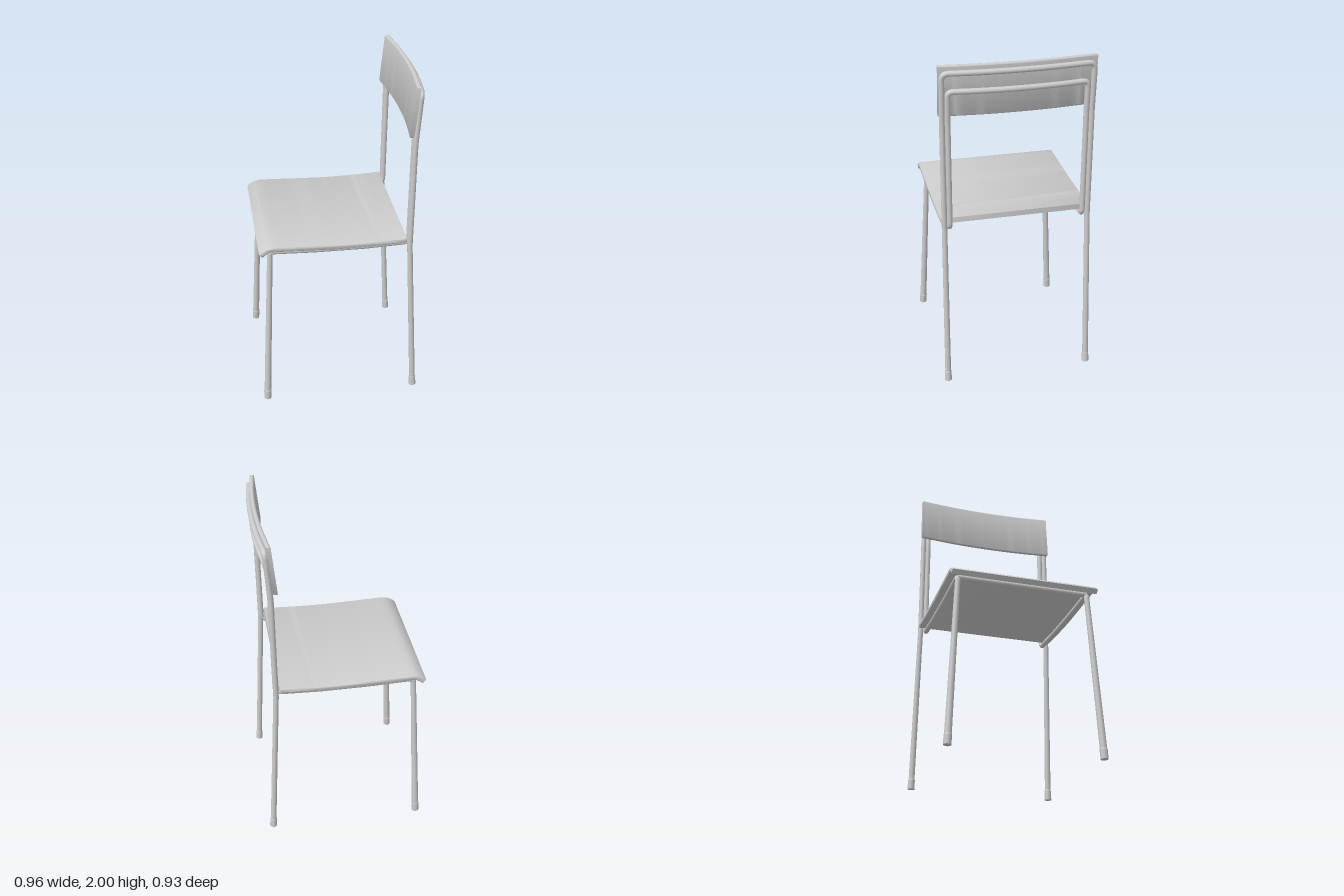
import * as THREE from 'three';
import { toCreasedNormals } from 'three/addons/utils/BufferGeometryUtils.js';

const V = (x, y, z) => new THREE.Vector3(x, y, z);
const R = 0.016; // tube radius

export function createModel() {
  const chair = new THREE.Group();
  chair.name = 'chair';
  const material = new THREE.MeshStandardMaterial({ color: 0xcccccc });

  function add(name, geometry) {
    const mesh = new THREE.Mesh(geometry, material);
    mesh.name = name;
    chair.add(mesh);
    return mesh;
  }

  // Bent steel tube through points, each corner rounded by the given bend
  function bentTube(name, points, bend = 0.04) {
    const path = new THREE.CurvePath();
    let last = points[0];
    for (let i = 1; i < points.length - 1; i++) {
      const p = points[i];
      const toward = (q) => {
        const d = q.clone().sub(p);
        return p.clone().add(d.setLength(Math.min(bend, d.length() * 0.45)));
      };
      const a = toward(points[i - 1]), b = toward(points[i + 1]);
      path.add(new THREE.LineCurve3(last, a));
      path.add(new THREE.QuadraticBezierCurve3(a, p, b));
      last = b;
    }
    path.add(new THREE.LineCurve3(last, points[points.length - 1]));
    add(name, new THREE.TubeGeometry(path, 320, R, 16, false));
  }

  // Straight tapered rod from top to bottom
  function rod(name, top, bottom, rTop, rBottom) {
    const d = top.clone().sub(bottom);
    const mesh = add(name, new THREE.CylinderGeometry(rTop, rBottom, d.length(), 20));
    mesh.position.copy(top).add(bottom).multiplyScalar(0.5);
    mesh.quaternion.setFromUnitVectors(V(0, 1, 0), d.normalize());
  }

  // Curved board with rounded edges: a centre line thickened, then extruded
  function slab(points, thickness, depth) {
    const curve = new THREE.SplineCurve(points.map(([x, y]) => new THREE.Vector2(x, y)));
    const upper = [], lower = [];
    for (let i = 0; i <= 40; i++) {
      const p = curve.getPoint(i / 40), t = curve.getTangent(i / 40);
      const n = new THREE.Vector2(-t.y, t.x).multiplyScalar(thickness / 2);
      upper.push(p.clone().add(n));
      lower.push(p.clone().sub(n));
    }
    const bevel = 0.01;
    const geometry = new THREE.ExtrudeGeometry(new THREE.Shape([...lower, ...upper.reverse()]), {
      depth: depth - 2 * bevel, bevelThickness: bevel, bevelSize: bevel,
      bevelOffset: -bevel, bevelSegments: 4,
    });
    geometry.translate(0, 0, bevel);
    return toCreasedNormals(geometry, 0.6);
  }

  // Seat board: slightly dished, front edge rolled down (chair faces -x)
  const seat = slab([[-0.468, 1.018], [-0.44, 1.04], [-0.4, 1.053], [-0.3, 1.051],
    [0, 1.042], [0.25, 1.046], [0.385, 1.054]], 0.032, 0.886);
  seat.translate(0, 0, -0.443);
  add('seat', seat);

  // Backrest board: bowed in plan, leaning back
  const bow = (z) => 0.028 * (1 - (z / 0.44) ** 2);
  const backrest = slab([-0.444, -0.22, 0, 0.22, 0.444].map((z) => [z, 0.388 + bow(z)]), 0.025, 0.3);
  backrest.applyMatrix4(new THREE.Matrix4().set(
    0, 1, 0.1, 0,
    0, 0, 1, 1.7,
    1, 0, 0, 0,
    0, 0, 0, 1));
  add('backrest', backrest);

  // Bowed crossbar points between two uprights
  const crossbar = (x, y, half) => [-1, -0.6, -0.3, 0, 0.3, 0.6, 1].map((k) => V(x + bow(k * 0.44), y, k * half));

  // Outer frame: rear uprights joined by the upper crossbar
  const outerSide = (s) => [V(0.407, 1.0, s * 0.426), V(0.414, 1.66, s * 0.426)];
  bentTube('outerBackFrame', [...outerSide(-1), ...crossbar(0.437, 1.957, 0.426), ...outerSide(1).reverse()]);

  // Inner frame: lower crossbar, inner uprights and seat rails
  const innerSide = (s) => [V(-0.412, 0.98, s * 0.394), V(-0.41, 1.018, s * 0.394), V(-0.15, 1.009, s * 0.394),
    V(0.15, 1.008, s * 0.394), V(0.406, 1.018, s * 0.394), V(0.414, 1.66, s * 0.394)];
  bentTube('innerSeatFrame', [...innerSide(-1), ...crossbar(0.427, 1.849, 0.394), ...innerSide(1).reverse()], 0.03);

  // Front rail under the seat
  rod('frontRail', V(-0.405, 1.018, 0.394), V(-0.405, 1.018, -0.394), R, R);

  // Legs with end caps, mirrored left and right
  for (const s of [1, -1]) {
    const legs = [
      ['frontLeg', V(-0.412, 0.99, s * 0.394), V(-0.458, 0, s * 0.443), 0.021],
      ['rearLeg', V(0.407, 1.01, s * 0.426), V(0.458, 0, s * 0.437), 0.018],
    ];
    for (const [name, top, bottom, r] of legs) {
      rod(name, top, bottom, R, r);
      rod(name + 'Cap', bottom.clone().lerp(top, 0.055), bottom, r + 0.002, 0.022);
      rod(name + 'CapRim', bottom.clone().lerp(top, 0.063), bottom.clone().lerp(top, 0.055), r, r + 0.002);
    }
  }
  return chair;
}
